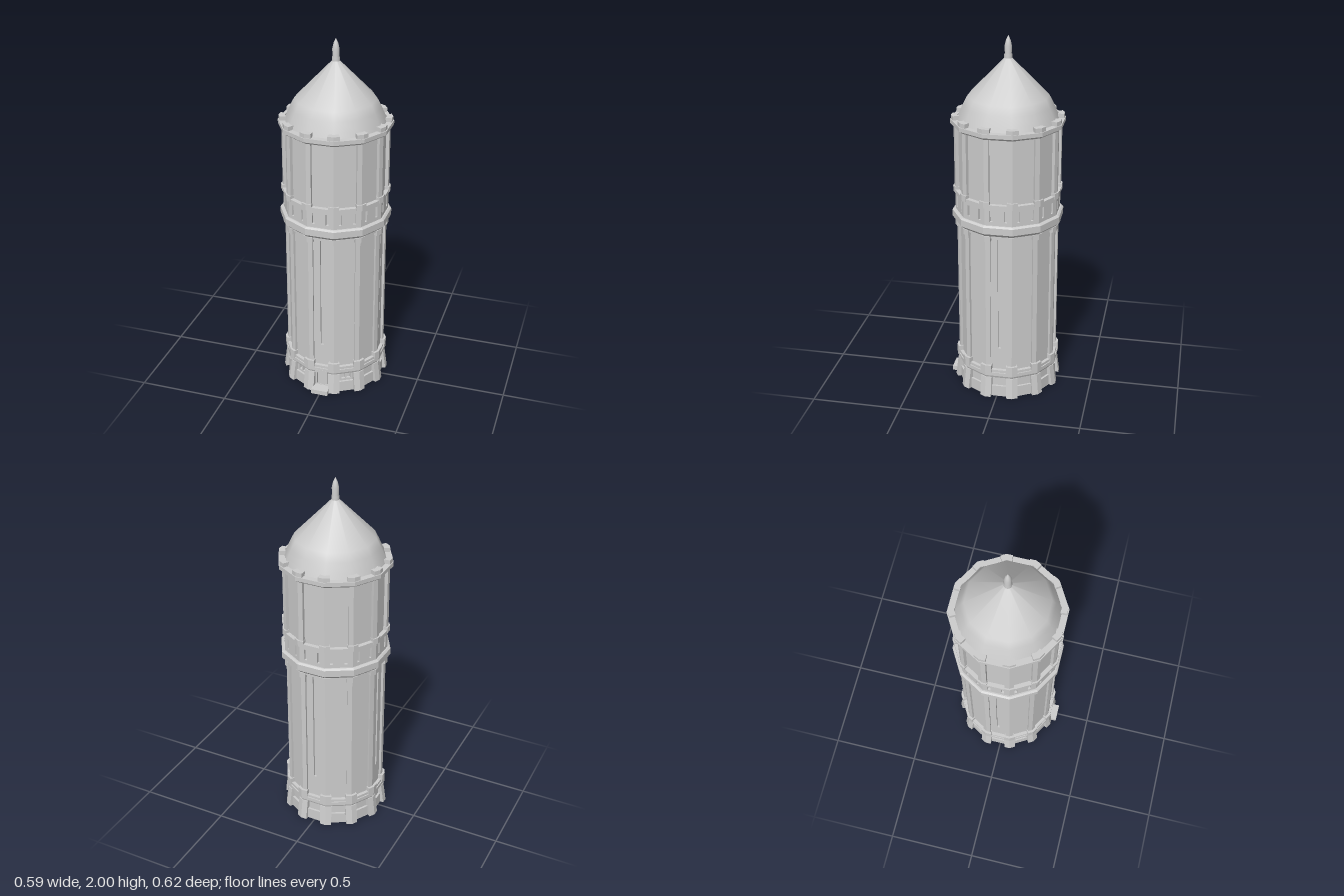
import * as THREE from 'three';

const SIDES = 12, STEP = Math.PI / 6, HALF = Math.PI / 12;
const C = Math.cos(HALF), S = Math.sin(HALF);
const stone = new THREE.MeshStandardMaterial({ color: 0xcccccc });
stone.name = 'stone';

// rectangle path for a face opening: centre x, width, bottom, top
function rect(Type, x, w, y0, y1) {
  const p = new Type();
  p.moveTo(x - w / 2, y0);
  p.lineTo(x + w / 2, y0);
  p.lineTo(x + w / 2, y1);
  p.lineTo(x - w / 2, y1);
  p.closePath();
  return p;
}

export function createModel() {
  const tower = new THREE.Group();
  tower.name = 'tower';
  tower.position.z = -0.013;

  function add(name, geometry, parent = tower) {
    const mesh = new THREE.Mesh(geometry, stone);
    mesh.name = name;
    parent.add(mesh);
    return mesh;
  }

  // solid twelve-sided ring; sizes are distances from the axis to a flat side
  function drum(name, y0, y1, a0, a1 = a0) {
    const g = new THREE.CylinderGeometry(a1 / C, a0 / C, y1 - y0, SIDES, 1, false, HALF).toNonIndexed();
    g.translate(0, (y0 + y1) / 2, 0);
    g.computeVertexNormals();
    add(name, g);
  }

  // one wall panel per side, with openings [x, width, bottom, top] chosen by side number
  function walls(name, y0, y1, a, openings, depth = 0.014) {
    const group = new THREE.Group();
    group.name = name;
    for (let i = 0; i < SIDES; i++) {
      const shape = rect(THREE.Shape, 0, 2 * a * Math.tan(HALF), y0, y1);
      openings(i).forEach(o => shape.holes.push(rect(THREE.Path, ...o)));
      const g = new THREE.ExtrudeGeometry(shape, { depth, bevelEnabled: false });
      g.translate(0, 0, a - depth);
      g.rotateY(i * STEP);
      add('wallPanel', g, group);
    }
    tower.add(group);
  }

  // chevron blocks wrapped around all corners, widening to a0 at the foot
  function corners(name, y0, y1, a, w, depth, a0 = a) {
    const r = a / C, group = new THREE.Group();
    group.name = name;
    const shape = new THREE.Shape([
      [0, r], [-w * C, r - w * S], [-(w - 0.008) * C, r - w * S - depth],
      [0, r - depth], [(w - 0.008) * C, r - w * S - depth], [w * C, r - w * S],
    ].map(p => new THREE.Vector2(...p)));
    for (let i = 0; i < SIDES; i++) {
      const g = new THREE.ExtrudeGeometry(shape, { depth: y1 - y0, bevelEnabled: false });
      g.rotateX(Math.PI / 2);
      g.translate(0, y1, 0);
      const p = g.attributes.position;
      for (let k = 0; k < p.count; k++) {
        if (p.getY(k) < y0 + 1e-4) p.setZ(k, p.getZ(k) + (a0 - a) / C);
      }
      g.computeVertexNormals();
      g.rotateY(HALF + i * STEP);
      add('cornerBlock', g, group);
    }
    tower.add(group);
  }

  // base with sloping buttresses, plinths, small windows and a door
  drum('baseCore', 0, 0.14, 0.245);
  walls('baseWall', 0, 0.13, 0.26, i =>
    i === 0 ? [[0, 0.062, 0.03, 0.125]]
      : i === 1 || i === 11 ? [[-0.015, 0.022, 0.078, 0.11], [0.015, 0.022, 0.078, 0.11]] : []);
  corners('buttresses', 0, 0.12, 0.277, 0.034, 0.04, 0.292);
  for (let i = 1; i < SIDES; i++) {
    const g = new THREE.BoxGeometry(0.085, 0.065, 0.03);
    g.translate(0, 0.0325, 0.257);
    g.rotateY(i * STEP);
    add('plinth', g);
  }
  add('door', new THREE.BoxGeometry(0.052, 0.1, 0.01)).position.set(0, 0.08, 0.252);
  add('doorLintel', new THREE.BoxGeometry(0.072, 0.016, 0.03)).position.set(0, 0.133, 0.268);
  add('doorStep', new THREE.BoxGeometry(0.096, 0.027, 0.07)).position.set(0, 0.0135, 0.285);
  drum('baseMoulding', 0.12, 0.135, 0.272, 0.278);
  drum('baseBand', 0.135, 0.155, 0.282);
  drum('baseLedge', 0.155, 0.17, 0.276);
  corners('baseCaps', 0.15, 0.197, 0.283, 0.034, 0.035);

  // main shaft with four tall slits
  drum('shaftCore', 0.14, 0.98, 0.245);
  walls('shaftWall', 0.16, 0.98, 0.257, i => i % 3 ? [] : [[0, 0.016, 0.3, 0.96]]);
  corners('shaftPilasters', 0.16, 0.97, 0.27, 0.026, 0.025);
  corners('shaftCapitals', 0.953, 0.985, 0.28, 0.032, 0.035);

  // gallery with two narrow openings on each side
  drum('galleryMoulding', 0.972, 0.985, 0.272);
  drum('galleryFlare', 0.985, 1.003, 0.275, 0.293);
  drum('galleryBand', 1.003, 1.04, 0.294);
  drum('galleryLedge', 1.04, 1.048, 0.294, 0.284);
  drum('galleryCore', 1.04, 1.16, 0.262);
  walls('galleryWall', 1.04, 1.15, 0.277, () => [-0.038, 0.038].map(x => [x, 0.015, 1.068, 1.13]));
  drum('galleryCornice', 1.145, 1.165, 0.285);
  corners('galleryCaps', 1.15, 1.182, 0.288, 0.03, 0.035);

  // upper shaft
  drum('upperCore', 1.15, 1.54, 0.262);
  corners('upperPilasters', 1.16, 1.535, 0.28, 0.026, 0.03);
  drum('upperFlare', 1.522, 1.535, 0.28, 0.292);
  drum('parapetBand', 1.535, 1.557, 0.297);
  corners('merlons', 1.55, 1.58, 0.292, 0.034, 0.033);

  // domed cone roof and finial
  const lathe = (points, sides) =>
    new THREE.LatheGeometry(points.map(p => new THREE.Vector2(...p)), sides, HALF);
  add('roof', lathe([[0.276, 1.55], [0.262, 1.585], [0.24, 1.635], [0.217, 1.68], [0.012, 1.89]], SIDES));
  add('finial', lathe([[0.021, 1.865], [0.021, 1.9], [0.018, 1.905], [0.019, 1.945], [0.012, 1.975], [0, 2]], 16));

  const model = new THREE.Group();
  model.name = 'model';
  model.add(tower);
  return model;
}
